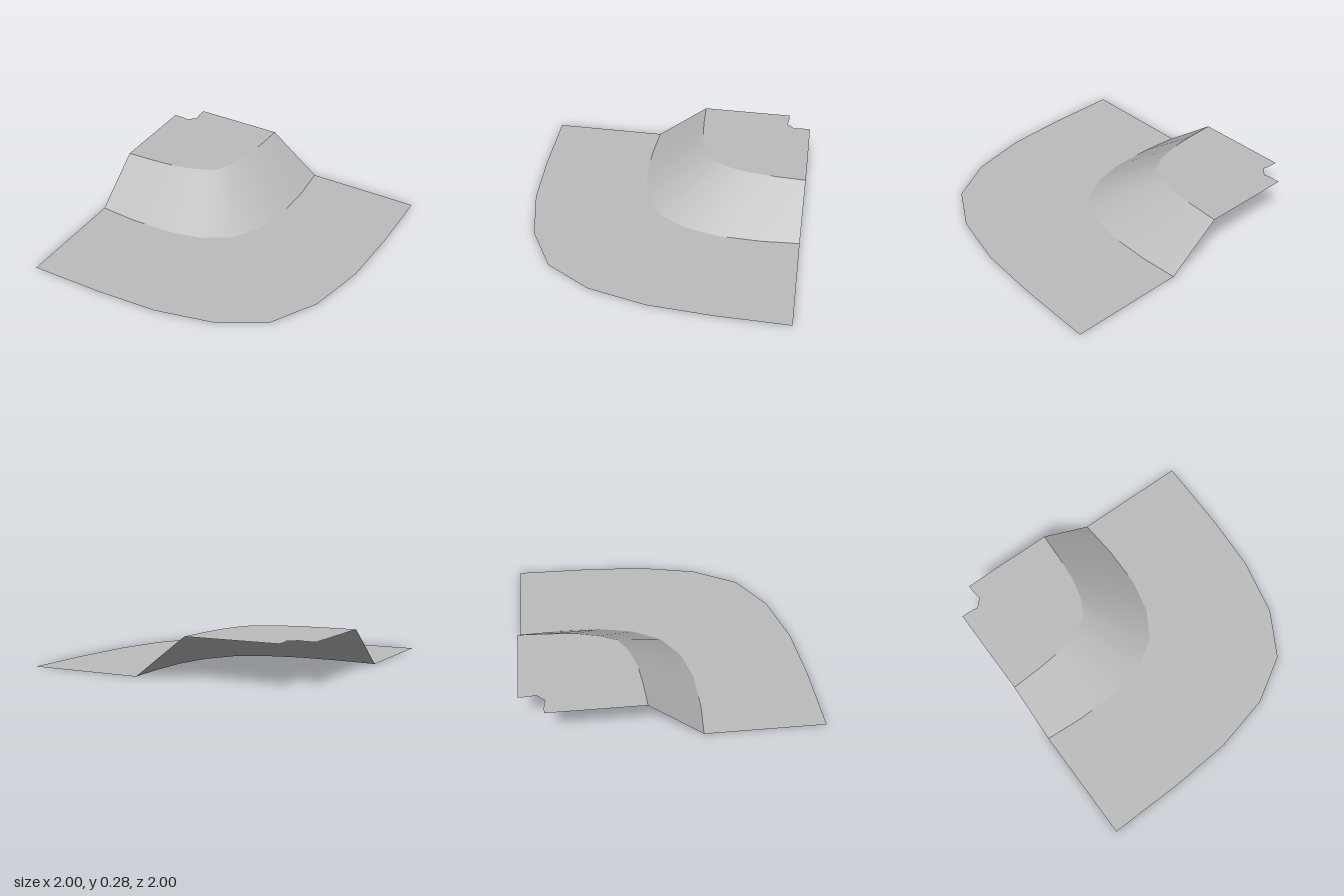
import * as THREE from 'three';

const HEIGHT = 0.285;

// Each outline is given as half of its points, from the front cut to the diagonal,
// then mirrored across the diagonal (swap x and z).
function outline(half, y) {
  const mirrored = half.slice(0, -1).reverse().map(([x, z]) => [z, x]);
  return [...half, ...mirrored].map(([x, z]) => [x, y, z]);
}

// Sheet lofted between an inner and an outer outline, facing up.
function loft(name, inner, outer, material) {
  const n = inner.length;
  const index = [];
  for (let i = 0; i < n - 1; i++) {
    index.push(i, n + i, i + 1, i + 1, n + i, n + i + 1);
  }
  const geometry = new THREE.BufferGeometry();
  geometry.setAttribute('position', new THREE.Float32BufferAttribute([...inner, ...outer].flat(), 3));
  geometry.setIndex(index);
  geometry.computeVertexNormals();
  const mesh = new THREE.Mesh(geometry, material);
  mesh.name = name;
  return mesh;
}

export function createModel() {
  const stone = new THREE.MeshStandardMaterial({ color: 0xbcbcbc });
  stone.name = 'stone grey';
  stone.side = THREE.DoubleSide;

  // Small rounded notch in the back corner of the plateau
  const notch = outline([[-1, -0.835], [-0.95, -0.835], [-0.91, -0.832], [-0.88, -0.82 - 0.005], [-0.853, -0.853]], HEIGHT);
  // Upper edge of the slope
  const crest = outline([[-1, -0.18], [-0.79, -0.19], [-0.6, -0.208], [-0.44, -0.25], [-0.31, -0.32]], HEIGHT);
  // Foot of the slope
  const foot = outline([[-1, 0.185], [-0.73, 0.203], [-0.42, 0.195], [-0.18, 0.14], [0.02, 0.02]], 0);
  // Outer border of the ground
  const border = outline([[-1, 1], [-0.48, 0.993], [-0.04, 0.965], [0.37, 0.87], [0.685, 0.685]], 0);

  const group = new THREE.Group();
  group.name = 'cliffCorner';
  group.add(
    loft('plateau', notch, crest, stone),
    loft('slope', crest, foot, stone),
    loft('ground', foot, border, stone),
  );
  return group;
}
